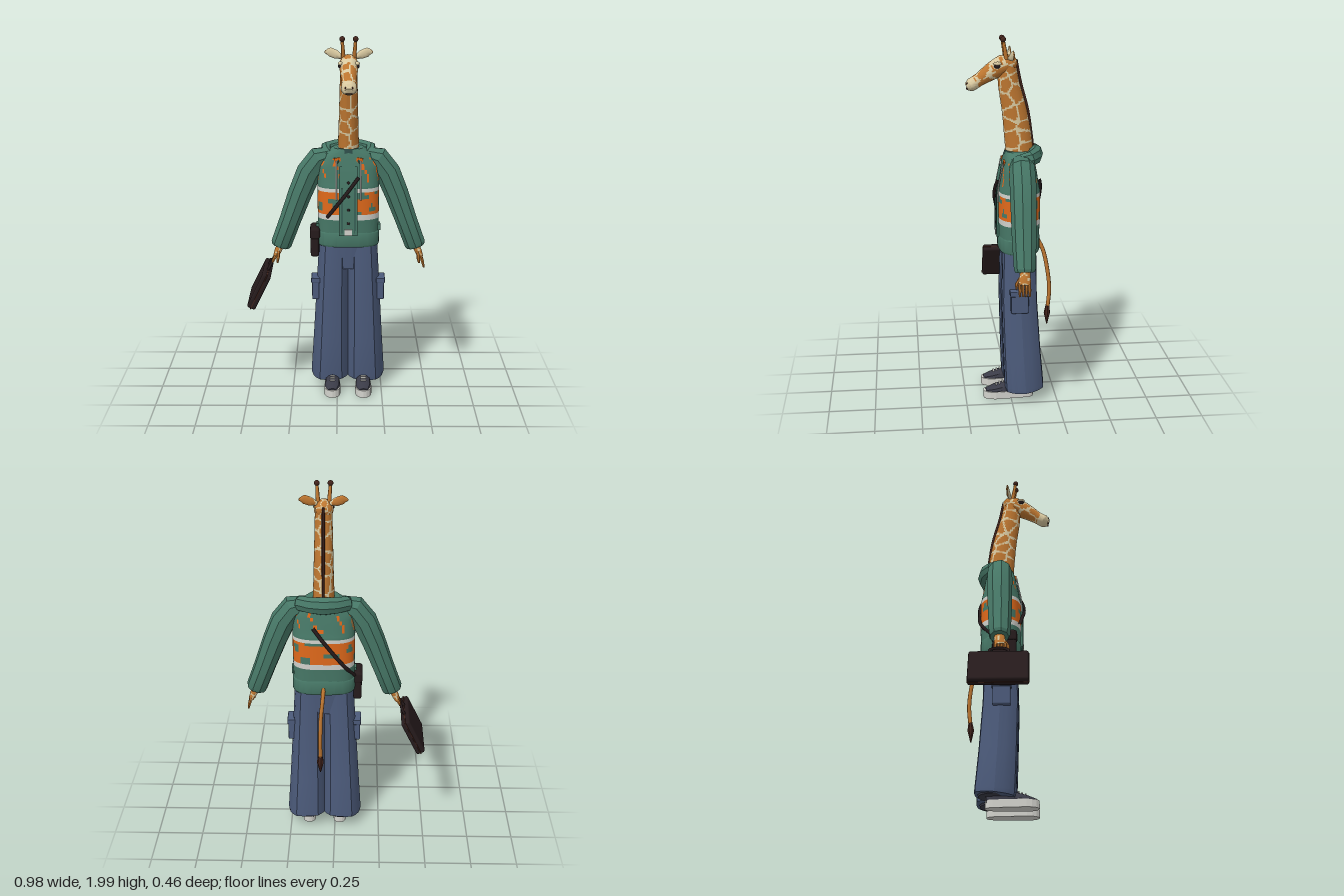
import * as THREE from 'three';
import { toCreasedNormals } from 'three/addons/utils/BufferGeometryUtils.js';
import { RoundedBoxGeometry } from 'three/addons/geometries/RoundedBoxGeometry.js';

const mat = (name, color) => Object.assign(new THREE.MeshStandardMaterial({ color }), { name });
const M = {
  green: mat('jacket green', 0x477867), shade: mat('collar dark green', 0x2c4b47),
  denim: mat('trouser blue', 0x4c5b7b), fur: mat('fur orange', 0xbd7630),
  cream: mat('fur cream', 0xd9c9a0), brown: mat('mane brown', 0x43241c),
  orange: mat('vest orange', 0xe0691b), white: mat('reflective white', 0xd3d3cd),
  leather: mat('dark leather', 0x261b1c), slate: mat('shoe slate', 0x3a3b47),
};
const V = (x, y, z) => new THREE.Vector3(x, y, z);
const lerp = THREE.MathUtils.lerp;

function add(parent, name, geo, material, x = 0, y = 0, z = 0) {
  const m = new THREE.Mesh(geo, material);
  m.name = name;
  m.position.set(x, y, z);
  parent.add(m);
  return m;
}

// Skins rings [x, y, z, radiusU, radiusV]; paint picks a material index per face.
function loft(parent, name, mats, rings, o = {}) {
  const { seg = 10, sub = 1, ref = V(1, 0, 0), pow = 1, turn = 0, crease = 0.5, wave = () => 1, paint = () => 0 } = o;
  const rows = (rings.length - 1) * sub;
  const curve = new THREE.CatmullRomCurve3(rings.map(r => V(r[0], r[1], r[2])));
  const soft = v => Math.sign(v) * Math.abs(v) ** pow;
  const pos = [], lists = [].concat(mats).map(() => []);
  const pt = k => V(pos[k * 3], pos[k * 3 + 1], pos[k * 3 + 2]);
  for (let i = 0; i <= rows; i++) {
    const k = Math.min(Math.floor(i / sub), rings.length - 2), f = i / sub - k;
    const c = curve.getPoint(i / rows), t = curve.getTangent(i / rows);
    const u = ref.clone().addScaledVector(t, -ref.dot(t)).normalize(), v = t.clone().cross(u);
    for (let j = 0; j < seg; j++) {
      const a = j / seg * Math.PI * 2 + turn, w = wave(a);
      const p = c.clone().addScaledVector(u, soft(Math.cos(a)) * lerp(rings[k][3], rings[k + 1][3], f) * w)
        .addScaledVector(v, soft(Math.sin(a)) * lerp(rings[k][4], rings[k + 1][4], f) * w);
      pos.push(p.x, p.y, p.z);
    }
  }
  for (let i = 0; i < rows; i++) for (let j = 0; j < seg; j++) {
    const n = (j + 1) % seg, a = i * seg + j, b = i * seg + n, c = b + seg, d = a + seg;
    const mid = pt(a).add(pt(b)).add(pt(c)).add(pt(d)).multiplyScalar(0.25);
    lists[paint((j + 0.5) / seg * Math.PI * 2, (i + 0.5) / rows, mid)].push(a, b, c, a, c, d);
  }
  for (const end of [0, rows]) {
    const c = curve.getPoint(end / rows), id = pos.length / 3;
    pos.push(c.x, c.y, c.z);
    for (let j = 0; j < seg; j++) {
      const a = end * seg + j, b = end * seg + (j + 1) % seg;
      lists[paint((j + 0.5) / seg * Math.PI * 2, end ? 1 : 0, c)].push(id, ...(end ? [a, b] : [b, a]));
    }
  }
  const geo = new THREE.BufferGeometry();
  geo.setAttribute('position', new THREE.Float32BufferAttribute(pos, 3));
  geo.setIndex(lists.flat());
  let start = 0;
  lists.forEach((l, i) => { if (l.length) geo.addGroup(start, l.length, i); start += l.length; });
  return add(parent, name, toCreasedNormals(geo, crease), mats);
}

function tube(parent, name, material, pts, r, sides = 6) {
  return add(parent, name, new THREE.TubeGeometry(new THREE.CatmullRomCurve3(pts.map(p => V(...p))), 16, r, sides), material);
}

// Fur patches: jittered cells, pale along the cell borders.
const hash = (i, j, k) => { const s = Math.sin(i * 127.1 + j * 311.7 + k * 74.7) * 43758.5; return s - Math.floor(s); };
const patches = (n, m) => (a, t) => {
  const u = a / (Math.PI * 2) * n, v = t * m, d = [];
  for (let i = -1; i <= 1; i++) for (let j = -1; j <= 1; j++) {
    const ci = Math.floor(u) + i, cj = Math.floor(v) + j, w = (ci + n) % n;
    d.push(Math.hypot(ci + 0.15 + 0.7 * hash(w, cj, 1) - u, cj + 0.15 + 0.7 * hash(w, cj, 2) - v));
  }
  d.sort((p, q) => p - q);
  return d[1] - d[0] < 0.13 ? 1 : 0;
};

// Depth of the jacket surface at x, y on the front (1) or back (-1).
const surf = (x, y, side) => -0.05 + side * (y > 1.18 ? lerp(0.113, 0.09, (y - 1.18) / 0.12) : 0.113)
  * Math.max(0, 1 - Math.abs(x / 0.168) ** 2.857) ** 0.35;

export function createModel() {
  const model = new THREE.Group(), body = new THREE.Group();
  model.name = 'giraffe traveller';
  body.name = 'body';
  body.position.x = 0.06;
  model.add(body);
  const furMats = [M.fur, M.cream], Z = V(0, 0, 1), Y = V(0, 1, 0);
  const ball = (name, material, r, x, y, z, sx = 1, sy = 1, sz = 1) =>
    add(body, name, new THREE.SphereGeometry(r, 12, 8), material, x, y, z).scale.set(sx, sy, sz);

  // Neck, mane and head
  loft(body, 'neck', furMats, [[0, 1.33, -0.06, 0.06, 0.075], [0, 1.48, -0.045, 0.054, 0.072], [0, 1.6, -0.028, 0.051, 0.066],
    [0, 1.75, 0.002, 0.047, 0.056], [0, 1.85, 0.012, 0.045, 0.048]], { seg: 44, sub: 18, crease: 1, paint: patches(5, 7) });
  loft(body, 'mane', M.brown, [[0, 1.36, -0.13, 0.007, 0.012], [0, 1.6, -0.095, 0.009, 0.014], [0, 1.75, -0.056, 0.009, 0.014],
    [0, 1.87, -0.034, 0.008, 0.012]], { seg: 6, sub: 4 });
  const headPatch = patches(5, 4);
  loft(body, 'head', furMats, [[0, 1.862, -0.04, 0.015, 0.015], [0, 1.858, -0.025, 0.04, 0.037], [0, 1.842, 0.03, 0.051, 0.053],
    [0, 1.81, 0.09, 0.046, 0.046], [0, 1.768, 0.155, 0.037, 0.034], [0, 1.74, 0.2, 0.041, 0.034], [0, 1.73, 0.222, 0.024, 0.02]],
  { seg: 32, sub: 8, crease: 1, paint: (a, t, p) => t > 0.73 || Math.hypot(p.y - 1.855, p.z - 0.07) < 0.026 ? 1 : headPatch(a, t) });
  add(body, 'mouth', new THREE.BoxGeometry(0.036, 0.005, 0.02), M.brown, 0, 1.72, 0.213);
  for (const s of [-1, 1]) {
    ball('eye', M.leather, 0.014, s * 0.046, 1.842, 0.065, 0.7, 0.9, 1.2);
    ball('eyelid', M.cream, 0.017, s * 0.044, 1.855, 0.064, 0.8, 0.6, 1.3);
    ball('nostril', M.brown, 0.006, s * 0.018, 1.75, 0.22);
    loft(body, 'horn', M.fur, [[s * 0.028, 1.87, 0.015, 0.012, 0.012], [s * 0.035, 1.975, 0.033, 0.008, 0.008]], { seg: 8, crease: 1 });
    ball('hornTip', M.brown, 0.015, s * 0.035, 1.978, 0.034);
    loft(body, 'ear', [M.cream, M.fur], [[s * 0.035, 1.88, 0, 0.01, 0.01], [s * 0.065, 1.892, -0.008, 0.023, 0.011],
      [s * 0.1, 1.905, -0.012, 0.024, 0.008], [s * 0.128, 1.905, -0.014, 0.004, 0.003]],
    { seg: 12, sub: 3, ref: Y, crease: 1, paint: (a, t, p) => (p.z > -0.011 ? 0 : 1) });
  }

  // Jacket body with patterned vest band and reflective stripes
  const ys = [[0.85, 0.162, 0.106], [0.92, 0.165, 0.108], [1.005, 0.167, 0.112], [1.035, 0.168, 0.113], [1.16, 0.168, 0.113],
    [1.18, 0.168, 0.113], [1.3, 0.168, 0.09], [1.36, 0.125, 0.078], [1.39, 0.08, 0.07]];
  loft(body, 'jacket', [M.green, M.orange, M.white], ys.map(([y, a, b]) => [0, y, -0.05, a, b]), {
    seg: 64, sub: 6, pow: 0.7,
    paint: (a, t, { y }) => {
      if ((y > 1.005 && y < 1.035) || (y > 1.16 && y < 1.18)) return 2;
      if (y > 1.035 && y < 1.16) return Math.sin(a * 7 + y * 45) + Math.sin(a * 3 - y * 70) > -0.75 ? 1 : 0;
      return y > 1.22 && y < 1.34 && Math.sin(a * 10 + y * 30) > 0.9 ? 1 : 0;
    },
  });
  loft(body, 'waistband', M.green, [[0, 0.85, -0.05, 0.167, 0.108], [0, 0.86, -0.05, 0.172, 0.113], [0, 0.925, -0.05, 0.172, 0.113],
    [0, 0.935, -0.05, 0.166, 0.109]], { seg: 24, pow: 0.75 });
  loft(body, 'placket', M.green, [0.92, 1.05, 1.18, 1.3].map(y => [0, y, surf(0, y, 1), 0.07, 0.011]), { seg: 4, turn: Math.PI / 4 });
  for (const x of [-0.035, 0.035])
    add(body, 'placketSeam', new THREE.BoxGeometry(0.005, 0.25, 0.006), M.shade, x, 1.06, 0.071);
  for (let i = 0; i < 4; i++) ball('button', M.leather, 0.008, 0, 0.99 + i * 0.075, surf(0, 0.99 + i * 0.075, 1) + 0.008, 1, 1, 0.5);
  add(body, 'tag', new THREE.BoxGeometry(0.04, 0.032, 0.008), M.white, 0, 0.94, 0.071);

  // Hood, collar and drawstrings
  loft(body, 'hood', M.green, [[-0.05, 1.32, 0.03, 0.018, 0.014], [-0.105, 1.345, -0.02, 0.03, 0.026], [-0.12, 1.365, -0.1, 0.042, 0.036],
    [0, 1.367, -0.14, 0.05, 0.042], [0.12, 1.365, -0.1, 0.042, 0.036], [0.105, 1.345, -0.02, 0.03, 0.026], [0.05, 1.32, 0.03, 0.018, 0.014]],
  { seg: 8, sub: 2, ref: Y });
  loft(body, 'collar', M.shade, [[0, 1.33, -0.05, 0.1, 0.085], [0, 1.385, -0.055, 0.085, 0.078]], { seg: 14 });
  for (const s of [-1, 1]) {
    tube(body, 'drawstring', M.white, [1.33, 1.27, 1.2, 1.12].map(y => [s * 0.066, y, surf(0.06, y, 1) + 0.006]), 0.004);
    add(body, 'collarTrim', new THREE.BoxGeometry(0.035, 0.02, 0.009), M.orange, s * 0.06, 1.335, 0.032).rotation.z = -s * 0.2;
    add(body, 'waistTab', new THREE.BoxGeometry(0.016, 0.035, 0.05), M.green, s * 0.168, 0.95, -0.03);
  }

  // Sleeves and hands
  for (const s of [-1, 1]) {
    loft(body, 'sleeve', M.green, [[s * 0.1, 1.345, -0.055, 0.055, 0.045], [s * 0.16, 1.325, -0.053, 0.068, 0.068], [s * 0.215, 1.25, -0.052, 0.07, 0.07],
      [s * 0.265, 1.13, -0.05, 0.068, 0.066], [s * 0.32, 0.98, -0.047, 0.064, 0.06], [s * 0.37, 0.845, -0.045, 0.057, 0.058],
      [s * 0.375, 0.83, -0.045, 0.05, 0.05]], { seg: 9, ref: Z, crease: 0.4 });
    loft(body, 'palm', furMats, [[s * 0.372, 0.845, -0.045, 0.026, 0.02], [s * 0.388, 0.805, -0.043, 0.03, 0.02],
      [s * 0.403, 0.77, -0.04, 0.033, 0.015]], { seg: 16, sub: 5, ref: Z, crease: 1, paint: patches(4, 2) });
    const drop = s > 0 ? 0.062 : 0.036;
    for (let i = 0; i < 4; i++) {
      const z = -0.065 + i * 0.017;
      loft(body, 'finger', M.fur, [[s * 0.401, 0.78, z, 0.008, 0.009], [s * 0.414, 0.775 - drop * 0.5, z, 0.008, 0.009],
        [s * 0.42, 0.775 - drop, z, 0.005, 0.005]], { seg: 6, ref: Z });
    }
    loft(body, 'thumb', M.fur, [[s * 0.385, 0.805, -0.02, 0.009, 0.009], [s * 0.388, 0.77, 0, 0.009, 0.009], [s * 0.392, 0.745, 0.002, 0.005, 0.005]],
      { seg: 6, ref: V(1, 0, 0) });
  }

  // Wide pleated trousers with side pockets
  loft(body, 'hips', M.denim, [[0, 0.72, -0.05, 0.14, 0.085], [0, 0.87, -0.05, 0.155, 0.095]], { seg: 16, pow: 0.75 });
  for (const s of [-1, 1]) {
    loft(body, 'trouserLeg', M.denim, [[s * 0.095, 0.065, -0.075, 0.107, 0.108], [s * 0.096, 0.085, -0.073, 0.108, 0.11], [s * 0.092, 0.3, -0.06, 0.098, 0.104],
      [s * 0.086, 0.58, -0.047, 0.088, 0.098], [s * 0.078, 0.87, -0.048, 0.08, 0.092]],
    { seg: 18, pow: 0.85, crease: 0.3, wave: a => 1 + 0.03 * Math.cos(6 * a) });
    loft(body, 'trouserOpening', M.slate, [[s * 0.095, 0.06, -0.075, 0.085, 0.088], [s * 0.095, 0.07, -0.075, 0.088, 0.09]], { seg: 14 });
    add(body, 'cargoPocket', new RoundedBoxGeometry(0.04, 0.12, 0.095, 1, 0.008), M.denim, s * 0.18, 0.59, -0.04);
    add(body, 'pocketFlap', new RoundedBoxGeometry(0.05, 0.03, 0.105, 1, 0.005), M.denim, s * 0.18, 0.643, -0.04);

    // Shoes
    const sole = new THREE.Shape().moveTo(-0.035, -0.09).bezierCurveTo(-0.035, -0.145, 0.035, -0.145, 0.035, -0.09)
      .lineTo(0.046, 0.08).bezierCurveTo(0.046, 0.17, -0.046, 0.17, -0.046, 0.08);
    const soleGeo = new THREE.ExtrudeGeometry(sole, { depth: 0.042, bevelEnabled: false, curveSegments: 8 });
    soleGeo.rotateX(Math.PI / 2).translate(0, 0.042, 0);
    add(body, 'shoeSole', soleGeo, M.white, s * 0.087, 0, 0.005);
    loft(body, 'shoeUpper', M.slate, [[s * 0.087, 0.045, -0.12, 0.026, 0.03], [s * 0.087, 0.05, -0.06, 0.037, 0.042], [s * 0.087, 0.048, 0.03, 0.041, 0.04],
      [s * 0.087, 0.042, 0.09, 0.042, 0.028], [s * 0.087, 0.038, 0.138, 0.026, 0.012]], { seg: 12, sub: 2 });
    for (let i = 0; i < 3; i++) add(body, 'shoeLace', new THREE.BoxGeometry(0.03, 0.005, 0.008), M.white, s * 0.087, 0.087 - i * 0.006, 0.045 + i * 0.018);
  }

  // Tail
  tube(body, 'tail', M.fur, [[0, 0.9, -0.15], [0.005, 0.83, -0.185], [0.015, 0.73, -0.208], [0.018, 0.6, -0.222], [0.018, 0.49, -0.213]], 0.011, 8);
  loft(body, 'tailTuft', M.brown, [[0.018, 0.51, -0.214, 0.01, 0.01], [0.018, 0.46, -0.211, 0.02, 0.018], [0.018, 0.395, -0.21, 0.003, 0.003]], { seg: 7, sub: 2 });

  // Shoulder bag and strap
  add(body, 'hipBag', new RoundedBoxGeometry(0.046, 0.165, 0.13, 2, 0.014), M.leather, -0.183, 0.872, -0.025);
  add(body, 'bagFlap', new RoundedBoxGeometry(0.054, 0.06, 0.136, 1, 0.012), M.leather, -0.183, 0.92, -0.025);
  for (const side of [1, -1]) {
    const pts = [0, 0.25, 0.5, 0.75, 1].map(t => {
      const x = lerp(0.055, -0.115, t), y = lerp(1.245, 1.02, t);
      return [x, y, surf(x, y, side) + side * (Math.abs(x) < 0.06 && side > 0 ? 0.014 : 0.006)];
    });
    if (side < 0) pts.push([-0.165, 0.94, -0.09]);
    tube(body, 'bagStrap', M.leather, pts, 0.01);
  }

  // Briefcase held in the right hand
  const bag = new THREE.Group();
  bag.name = 'briefcase';
  bag.position.set(-0.49, 0.608, -0.045);
  bag.rotation.z = -0.454;
  body.add(bag);
  add(bag, 'caseShell', new RoundedBoxGeometry(0.05, 0.215, 0.305, 2, 0.012), M.leather);
  add(bag, 'caseSeam', new RoundedBoxGeometry(0.006, 0.219, 0.309, 1, 0.002), M.brown);
  tube(bag, 'caseHandle', M.leather, [[0, 0.1, -0.05], [0, 0.14, -0.045], [0, 0.153, 0], [0, 0.14, 0.045], [0, 0.1, 0.05]], 0.008);
  return model;
}
